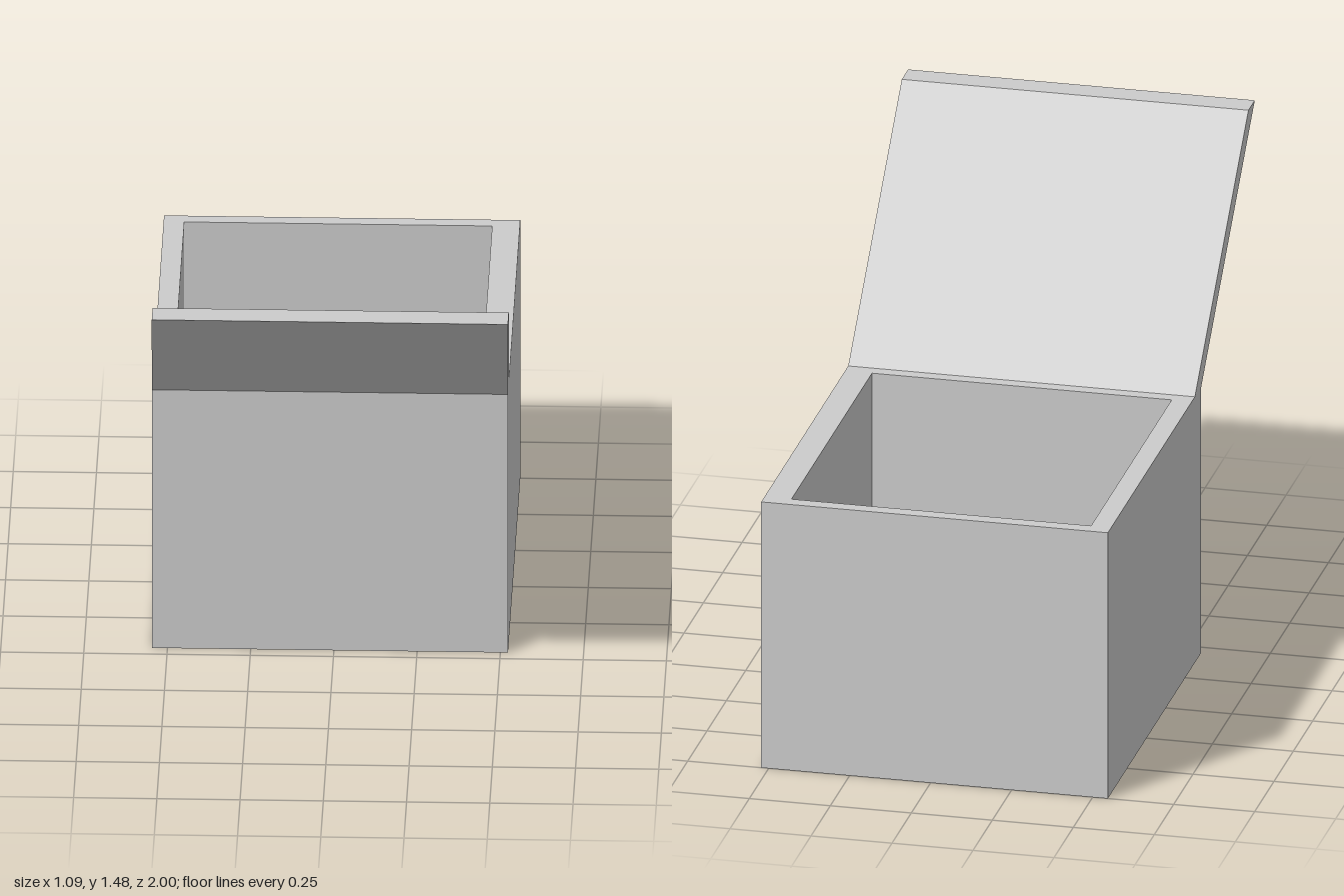
import * as THREE from 'three';

const material = new THREE.MeshStandardMaterial({ color: 0xcccccc, flatShading: true });

// Outer footprint, opening and heights
const outer = { x0: -0.547, x1: 0.523, z0: -1, z1: 0.207 };
const inner = { x0: -0.485, x1: 0.44, z0: -0.957, z1: 0.085 };
const floorY = 0.06, rimY = 0.86, topY = 1.475;

// Counter-clockwise outline, so that walls of holes face into the opening
function rectangle(PathType, r) {
  return new PathType([[r.x0, r.z1], [r.x1, r.z1], [r.x1, r.z0], [r.x0, r.z0]]
    .map(([x, z]) => new THREE.Vector2(x, -z)));
}

// Upright prism between two heights
function prism(shape, y0, y1) {
  return new THREE.ExtrudeGeometry(shape, { depth: y1 - y0, bevelEnabled: false })
    .rotateX(-Math.PI / 2).translate(0, y0, 0);
}

export function createModel() {
  const group = new THREE.Group();
  group.name = 'openBox';
  const add = (name, geometry) => {
    const mesh = new THREE.Mesh(geometry, material);
    mesh.name = name;
    group.add(mesh);
  };

  // Four walls around the opening
  const wallShape = rectangle(THREE.Shape, outer);
  wallShape.holes.push(rectangle(THREE.Path, inner));
  add('walls', prism(wallShape, floorY, rimY));

  // Floor
  add('floor', prism(rectangle(THREE.Shape, outer), 0, floorY));

  // Open lid: an upright slab sheared forward and slightly sideways
  const lid = prism(rectangle(THREE.Shape, { ...outer, z0: 0.125 }), rimY, topY);
  const pos = lid.attributes.position;
  for (let i = 0; i < pos.count; i++) {
    const t = (pos.getY(i) - rimY) / (topY - rimY);
    pos.setX(i, pos.getX(i) + 0.024 * t);
    pos.setZ(i, pos.getZ(i) + 0.793 * t);
  }
  lid.computeVertexNormals();
  add('lid', lid);

  return group;
}
